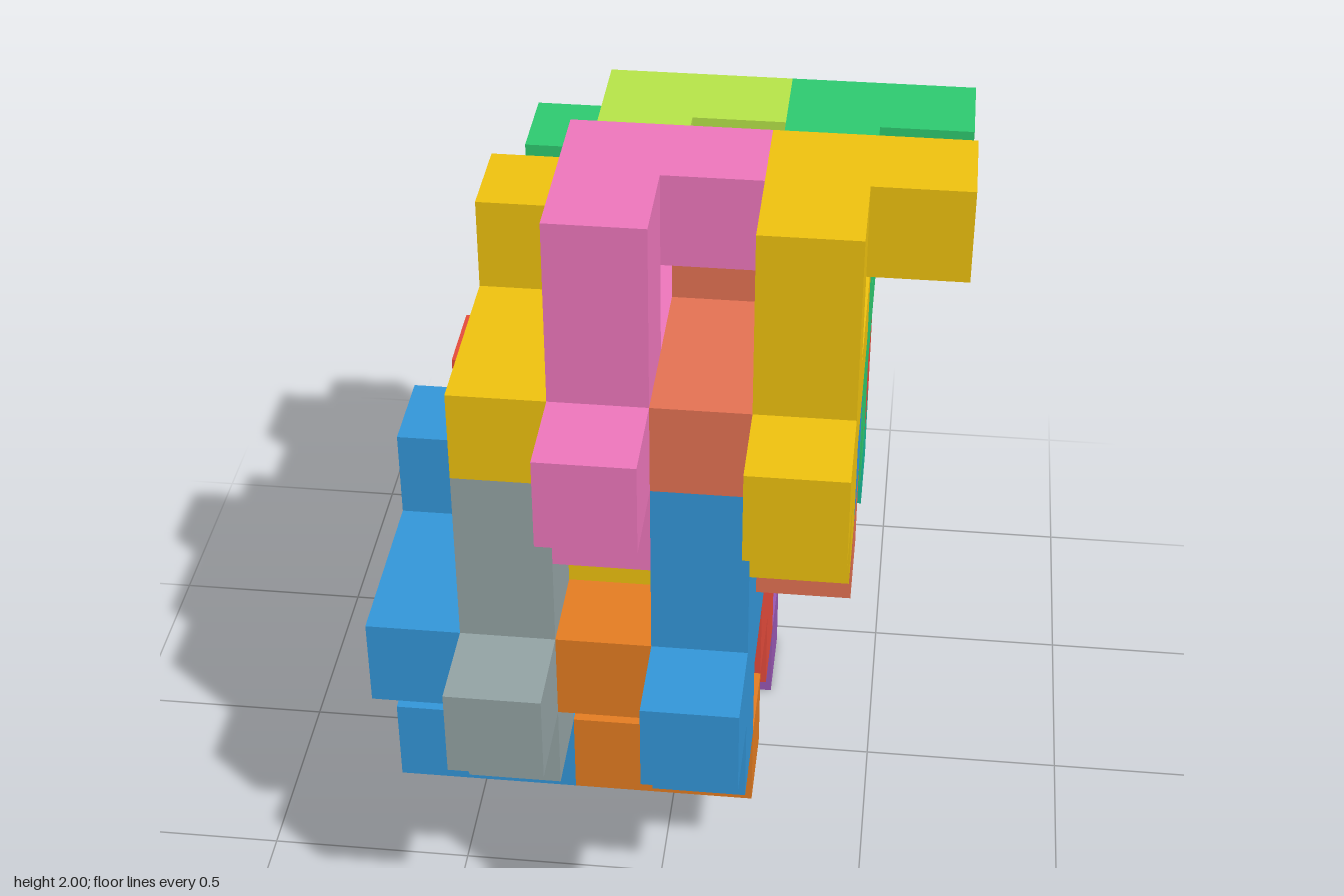
import * as THREE from 'three';
import { mergeGeometries } from 'three/addons/utils/BufferGeometryUtils.js';

const U = 2 / 9; // edge of one unit cube

// One puzzle piece: a flat crossed outline with a hook cube at its side,
// centred on the middle of its four-cube column.
function pieceGeometry() {
  const outline = [
    [0, 0], [1, 0], [1, 1], [3, 1], [3, 2], [1, 2], [1, 3],
    [2, 3], [2, 4], [0, 4], [0, 2], [-1, 2], [-1, 1], [0, 1],
  ].map(([u, v]) => new THREE.Vector2(u, v));
  const plate = new THREE.ExtrudeGeometry(new THREE.Shape(outline), { depth: 1, bevelEnabled: false });
  const hook = new THREE.BoxGeometry(1, 1, 1).toNonIndexed();
  hook.translate(1.5, 3.5, 1.5);
  const piece = mergeGeometries([plate, hook]);
  piece.translate(-0.5, -2, -0.5);
  piece.rotateY(Math.PI / 2); // long arm to the back, hook to +x
  piece.scale(U, U, U);
  return piece;
}

// Two interlocking sets of eight: upright pieces and pieces turned upside down.
// start: cell of the column's lowest cube; colors: [layer][tier][front, back]
const SETS = [
  {
    name: 'upright', start: [4, 5, 6], turn: 0,
    colors: [
      [[0xf1c40f, 0x2ecc71], [0x3498db, 0xe74c3c]],
      [[0xf078be, 0xb8e649], [0x95a5a6, 0x2c3e50]],
    ],
  },
  {
    name: 'inverted', start: [3, 4, 4], turn: Math.PI,
    colors: [
      [[0xe67354, 0x1abc9c], [0xe67e22, 0x9b59b6]],
      [[0xf1c40f, 0x2ecc71], [0x3498db, 0xe74c3c]],
    ],
  },
];

export function createModel() {
  const model = new THREE.Group();
  model.name = 'interlockingPuzzle';
  const geometry = pieceGeometry();

  for (const { name, start: [i, j, k], turn, colors } of SETS) {
    colors.forEach((layer, a) => layer.forEach((tier, b) => tier.forEach((color, c) => {
      const piece = new THREE.Mesh(geometry, new THREE.MeshStandardMaterial({ color }));
      piece.name = `${name}Piece${a * 4 + b * 2 + c + 1}`;
      // layers step left to right, tiers step down, front and back step in depth
      piece.position.set(
        (i - 2 * a - b - 2.5) * U,
        (j - 3 * b - c + 2) * U,
        (k - 3 * c - 3.5) * U,
      );
      piece.rotation.x = turn;
      model.add(piece);
    })));
  }
  return model;
}
